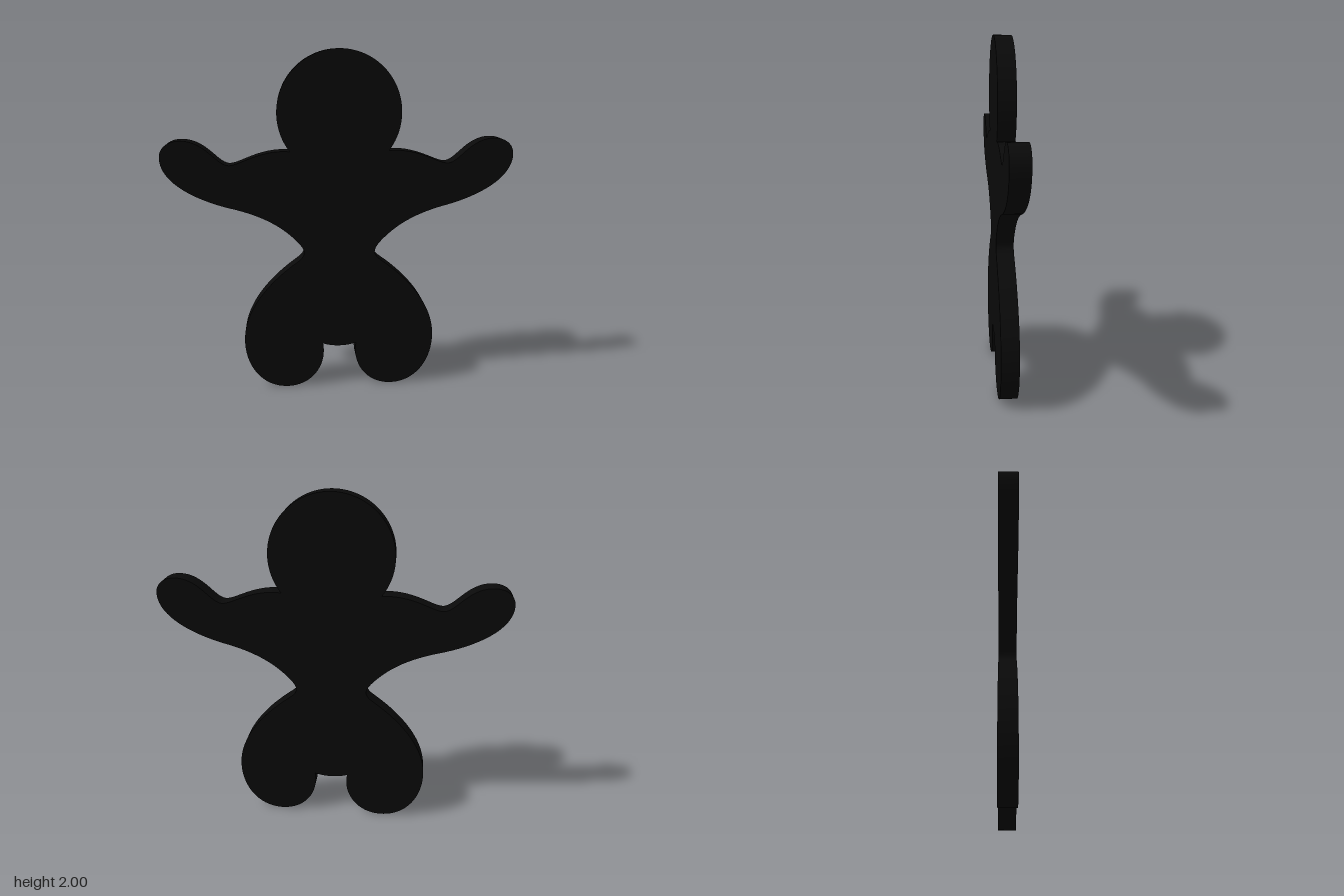
import * as THREE from 'three';
import { toCreasedNormals } from 'three/addons/utils/BufferGeometryUtils.js';

// Half outline (model's left side), from the crotch up to the crown
function halfOutline() {
  const s = new THREE.Shape();
  s.moveTo(0, 0.258);
  s.quadraticCurveTo(0.055, 0.258, 0.1, 0.274);
  // foot
  s.bezierCurveTo(0.075, 0.13, 0.17, 0, 0.315, 0);
  s.bezierCurveTo(0.47, 0, 0.567, 0.14, 0.567, 0.305);
  // hip and waist
  s.bezierCurveTo(0.567, 0.49, 0.43, 0.66, 0.25, 0.79);
  s.bezierCurveTo(0.195, 0.83, 0.195, 0.855, 0.235, 0.905);
  // underside of the arm and the hand
  s.bezierCurveTo(0.33, 1.01, 0.44, 1.07, 0.6, 1.115);
  s.bezierCurveTo(0.78, 1.16, 1, 1.26, 1, 1.41);
  s.bezierCurveTo(1, 1.47, 0.95, 1.506, 0.885, 1.506);
  // top of the arm and the shoulder
  s.bezierCurveTo(0.745, 1.506, 0.69, 1.366, 0.62, 1.366);
  s.bezierCurveTo(0.56, 1.366, 0.45, 1.455, 0.28, 1.44);
  // head
  s.absarc(0, 1.65, 0.35, Math.atan2(-0.21, 0.28), Math.PI / 2, false);
  return s.getPoints(24);
}

export function createModel() {
  const group = new THREE.Group();
  const half = halfOutline();

  // Mirror the half outline, leaving out its two points on the centre line
  const mirrored = half.slice(1, -1).reverse().map(p => new THREE.Vector2(-p.x, p.y));
  const shape = new THREE.Shape([...half, ...mirrored]);

  const depth = 0.1;
  const geometry = new THREE.ExtrudeGeometry(shape, { depth, bevelEnabled: false });
  geometry.translate(0, 0, -depth / 2);

  const body = new THREE.Mesh(
    toCreasedNormals(geometry, Math.PI / 6),
    new THREE.MeshStandardMaterial({ color: 0x0a0a0a })
  );
  body.name = 'figureCutout';
  group.add(body);
  return group;
}
